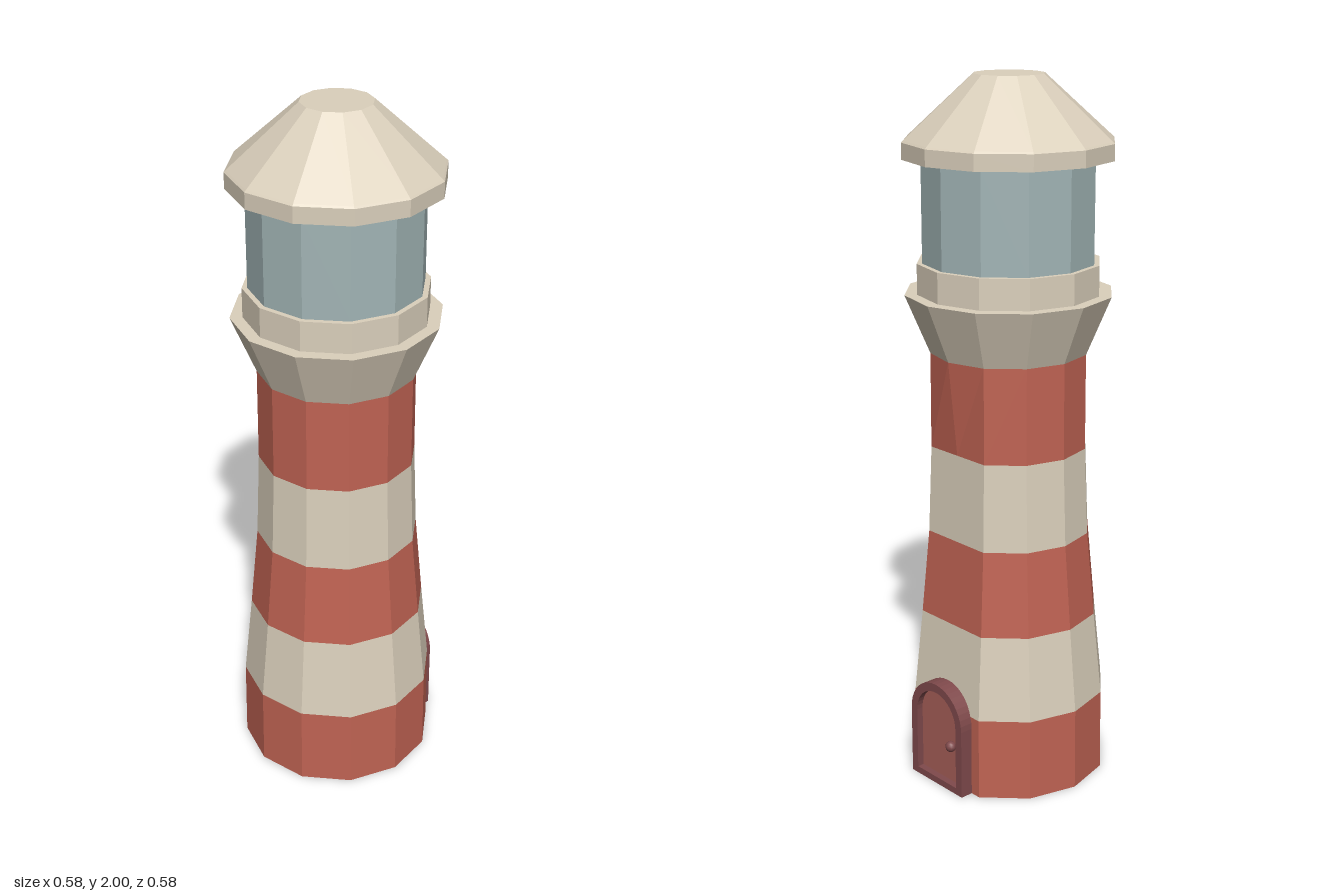
import * as THREE from 'three';

const SIDES = 12;
const TWIST = THREE.MathUtils.degToRad(-4.7);
const DOOR_ANGLE = TWIST + (5 * Math.PI) / 6;

const mat = (name, color) => {
  const m = new THREE.MeshStandardMaterial({ color });
  m.name = name;
  return m;
};

// Faceted normals
function facet(geo) {
  const g = geo.index ? geo.toNonIndexed() : geo;
  g.computeVertexNormals();
  return g;
}

// Pulls the corner above the door back onto a flat wall, below the given height
function flattenDoorSide(geo, below) {
  const p = geo.attributes.position;
  for (let i = 0; i < p.count; i++) {
    const x = p.getX(i), z = p.getZ(i);
    if (p.getY(i) > below || Math.hypot(x, z) < 0.01) continue;
    if (Math.abs(Math.atan2(x, z) - DOOR_ANGLE) < 0.05) {
      const k = Math.cos(Math.PI / 6);
      p.setX(i, x * k);
      p.setZ(i, z * k);
    }
  }
  return geo;
}

// Arched outline standing on y
function archPath(target, halfWidth, y, spring) {
  target.moveTo(-halfWidth, y);
  target.lineTo(halfWidth, y);
  target.lineTo(halfWidth, spring);
  target.absarc(0, spring, halfWidth, 0, Math.PI, false);
  target.lineTo(-halfWidth, y);
  return target;
}

export function createModel() {
  const model = new THREE.Group();
  model.name = 'lighthouse';

  const cream = mat('cream', 0xdbd0bc);
  const red = mat('brickRed', 0xc06353);
  const glass = mat('paleGlass', 0xa2b5b6);
  const doorRed = mat('doorRed', 0xa86058);
  const frameRed = mat('darkFrame', 0x804a4c);
  const black = mat('black', 0x000000);

  const add = (parent, name, geo, material) => {
    const mesh = new THREE.Mesh(geo, material);
    mesh.name = name;
    parent.add(mesh);
    return mesh;
  };

  // Striped tower, one ring per stripe
  const rings = [[0.282, 0], [0.28, 0.24], [0.255, 0.485], [0.232, 0.73], [0.222, 0.98], [0.221, 1.25]];
  for (let i = 0; i < rings.length - 1; i++) {
    const [r0, y0] = rings[i], [r1, y1] = rings[i + 1];
    const geo = new THREE.CylinderGeometry(r1, r0, y1 - y0, SIDES, 1, true);
    geo.translate(0, (y0 + y1) / 2, 0).rotateY(TWIST);
    add(model, `towerStripe${i + 1}`, facet(flattenDoorSide(geo, 1.1)), i % 2 ? cream : red);
  }

  // Underside of the tower
  const floor = new THREE.CircleGeometry(0.282, SIDES).rotateX(Math.PI / 2).rotateY(TWIST);
  add(model, 'floor', facet(flattenDoorSide(floor, 1)), black);

  // Turned upper parts
  const turned = (name, profile, material) => {
    const pts = profile.map(([r, y]) => new THREE.Vector2(r, y));
    add(model, name, facet(new THREE.LatheGeometry(pts, SIDES).rotateY(TWIST)), material);
  };
  turned('gallery', [[0.221, 1.25], [0.29, 1.415], [0.255, 1.415], [0.255, 1.5], [0.235, 1.5]], cream);
  turned('lanternGlass', [[0.24, 1.5], [0.24, 1.78]], glass);
  turned('roof', [[0.23, 1.78], [0.291, 1.78], [0.291, 1.825], [0.286, 1.83], [0.097, 2], [0, 2]], cream);

  // Arched door
  const door = new THREE.Group();
  door.name = 'door';
  door.rotation.y = DOOR_ANGLE;
  model.add(door);

  const frameShape = archPath(new THREE.Shape(), 0.11, 0, 0.205);
  frameShape.holes.push(archPath(new THREE.Path(), 0.085, 0.02, 0.205));
  const frame = new THREE.ExtrudeGeometry(frameShape, { depth: 0.06, bevelEnabled: false, curveSegments: 10 });
  add(door, 'doorFrame', frame.translate(0, 0, 0.222), frameRed);

  const panelShape = archPath(new THREE.Shape(), 0.086, 0.015, 0.205);
  const panel = new THREE.ExtrudeGeometry(panelShape, { depth: 0.04, bevelEnabled: false, curveSegments: 10 });
  add(door, 'doorPanel', panel.translate(0, 0, 0.222), doorRed);

  const knob = add(door, 'doorKnob', new THREE.SphereGeometry(0.016, 10, 8), frameRed);
  knob.position.set(0.05, 0.135, 0.27);

  return model;
}
